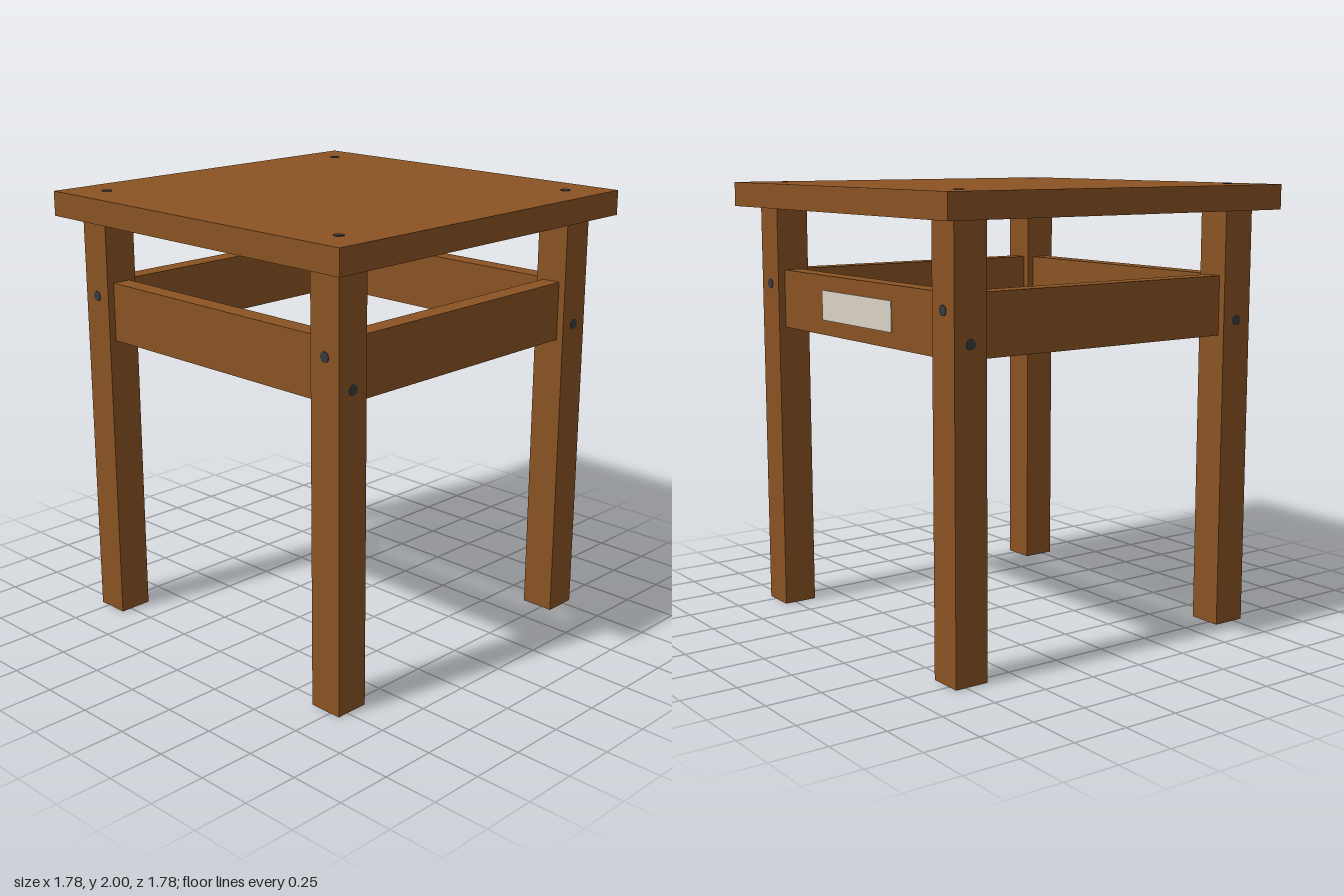
import * as THREE from 'three';

export function createModel() {
  const wood = new THREE.MeshStandardMaterial({ name: 'brown wood', color: 0x8a5323 });
  const steel = new THREE.MeshStandardMaterial({ name: 'dark steel', color: 0x373b3e });
  const pale = new THREE.MeshStandardMaterial({ name: 'pale label', color: 0xd9d3c3 });

  const stool = new THREE.Group();
  stool.name = 'stool';

  const legWidth = 0.1556, legHeight = 1.889, legPos = 0.7222;
  const outer = legPos + legWidth / 2, inner = legPos - legWidth / 2;
  const railThickness = 0.0889, railHeight = 0.2667, railY = 1.4667;

  function box(name, size, position, material, parent = stool) {
    const mesh = new THREE.Mesh(new THREE.BoxGeometry(...size), material);
    mesh.name = name;
    mesh.position.set(...position);
    parent.add(mesh);
    return mesh;
  }

  // Seat board
  box('seat', [1.7778, 0.111, 1.7778], [0, 1.9445, 0], wood);

  // Small round screw heads, almost flush with the wood
  const screwGeometry = new THREE.CylinderGeometry(0.0225, 0.0225, 0.006, 24);
  function screw(name, position, rotation = [0, 0, 0]) {
    const mesh = new THREE.Mesh(screwGeometry, steel);
    mesh.name = name;
    mesh.position.set(...position);
    mesh.rotation.set(...rotation);
    stool.add(mesh);
  }

  // Legs, each with screws on its two outer faces and one through the seat
  for (const sx of [-1, 1]) {
    for (const sz of [-1, 1]) {
      const corner = (sz > 0 ? 'front' : 'back') + (sx > 0 ? 'Left' : 'Right');
      box(corner + 'Leg', [legWidth, legHeight, legWidth],
        [sx * legPos, legHeight / 2, sz * legPos], wood);
      screw(corner + 'SeatScrew', [sx * legPos, 2, sz * legPos]);
      screw(corner + 'EndScrew', [sx * legPos, 1.5333, sz * outer], [Math.PI / 2, 0, 0]);
      screw(corner + 'SideScrew', [sx * outer, 1.4, sz * legPos], [0, 0, Math.PI / 2]);
    }
  }

  // Rails between the legs
  for (const s of [-1, 1]) {
    box(s > 0 ? 'frontRail' : 'backRail', [inner * 2, railHeight, railThickness],
      [0, railY, s * legPos], wood);
    box(s > 0 ? 'leftRail' : 'rightRail', [railThickness, railHeight, inner * 2],
      [s * legPos, railY, 0], wood);
  }

  // Blank label on the back rail
  box('label', [0.578, 0.1333, 0.006], [0, railY, -legPos - railThickness / 2 - 0.001], pale);

  return stool;
}
